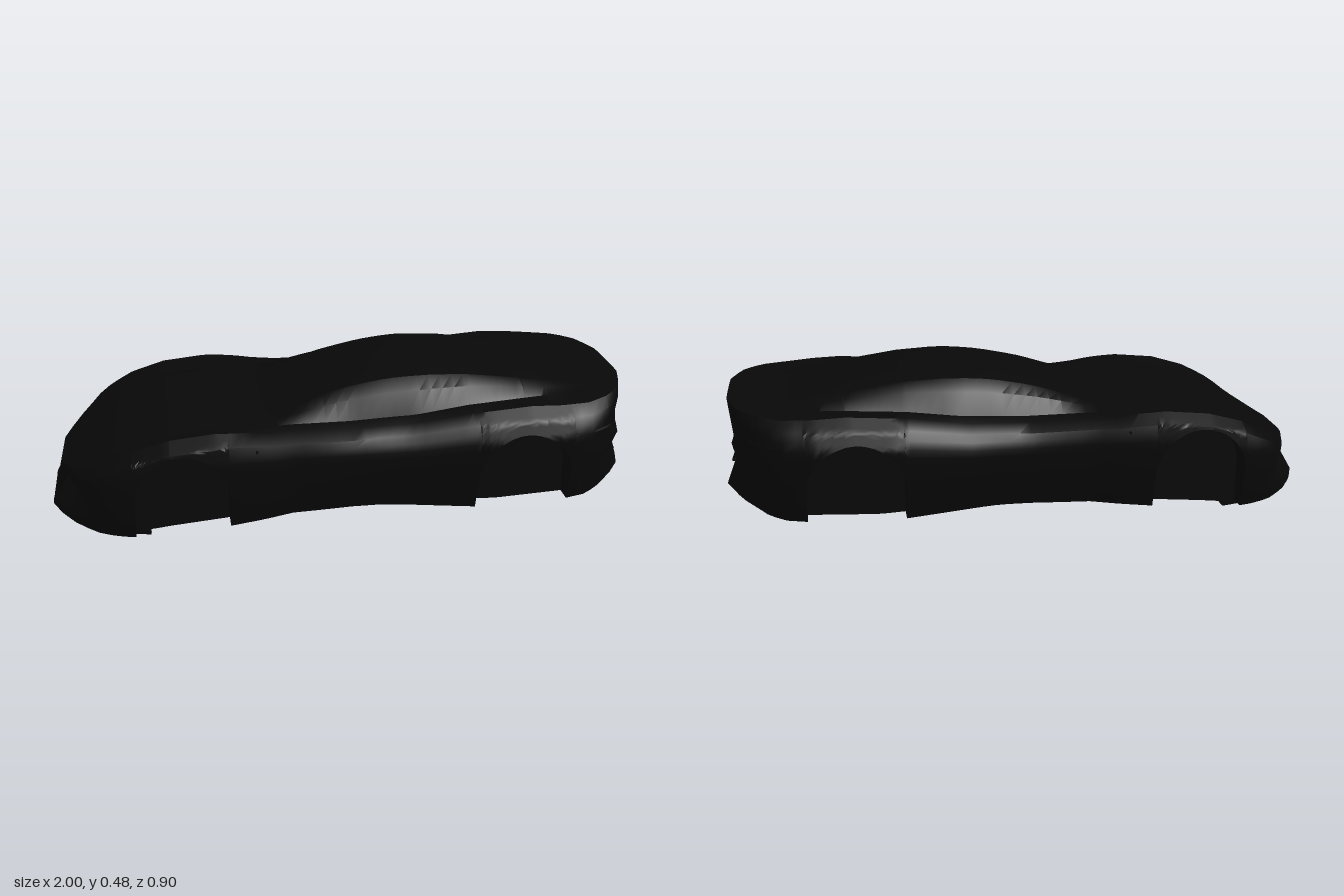
import * as THREE from 'three';
import { toCreasedNormals } from 'three/addons/utils/BufferGeometryUtils.js';

const paint = new THREE.MeshStandardMaterial({ color: 0x080808 });
paint.name = 'black paint';
const glass = new THREE.MeshStandardMaterial({ color: 0x070707 });
glass.name = 'black glass';
const trim = new THREE.MeshStandardMaterial({ color: 0x060606, side: THREE.DoubleSide });
trim.name = 'black trim';

// Piecewise interpolation through [x, value] pairs
function table(pts) {
  return (x) => {
    if (x <= pts[0][0]) return pts[0][1];
    for (let i = 1; i < pts.length; i++) {
      if (x <= pts[i][0]) {
        const [a, b] = [pts[i - 1], pts[i]];
        return a[1] + ((b[1] - a[1]) * (x - a[0])) / (b[0] - a[0]);
      }
    }
    return pts[pts.length - 1][1];
  };
}

// Lengthwise rules: plan half width, floor, shoulder, belt and centre line heights, cabin half width
const width = table([[-1, 0.13], [-0.97, 0.205], [-0.93, 0.28], [-0.85, 0.375], [-0.78, 0.413], [-0.7, 0.428], [-0.6, 0.434],
  [-0.4, 0.434], [-0.3, 0.424], [-0.2, 0.405], [0, 0.4], [0.15, 0.41], [0.3, 0.43], [0.45, 0.449], [0.7, 0.45],
  [0.8, 0.427], [0.9, 0.37], [0.96, 0.285], [0.98, 0.22], [1, 0.14]]);
const floorY = table([[-1, 0.025], [-0.67, 0.012], [-0.6, 0.02], [-0.2, 0.055], [0.1, 0.06], [0.5, 0.04], [0.8, 0.055], [0.93, 0.07], [1, 0.1]]);
const shoulder = table([[-1, 0.175], [-0.89, 0.215], [-0.8, 0.27], [-0.72, 0.31], [-0.6, 0.345], [-0.45, 0.36],
  [-0.35, 0.355], [-0.27, 0.345], [0, 0.335], [0.2, 0.345], [0.4, 0.38], [0.6, 0.395], [0.8, 0.388], [1, 0.398]]);
const belt = table([[-1, 0.178], [-0.89, 0.218], [-0.8, 0.265], [-0.72, 0.298], [-0.6, 0.33], [-0.45, 0.345],
  [-0.27, 0.345], [0, 0.342], [0.2, 0.355], [0.4, 0.378], [0.6, 0.388], [0.8, 0.385], [1, 0.398]]);
const roof = table([[-1, 0.18], [-0.89, 0.22], [-0.8, 0.27], [-0.72, 0.304], [-0.6, 0.336], [-0.45, 0.35], [-0.27, 0.35],
  [-0.2, 0.37], [-0.1, 0.41], [-0.02, 0.438], [0.1, 0.465], [0.18, 0.475], [0.26, 0.478], [0.4, 0.468], [0.6, 0.435], [0.8, 0.394], [1, 0.4]]);
const cabin = table([[-0.4, 0.3], [0, 0.315], [0.3, 0.3], [0.6, 0.285], [0.8, 0.25], [1, 0.2]]);
const frontBulge = table([[0, 0.9], [0.2, 0.945], [0.47, 0.985], [0.74, 1], [0.91, 0.985], [1, 0.845]]);
const rearBulge = table([[0, 0.88], [0.2, 0.925], [0.47, 0.98], [0.74, 1], [0.9, 0.955], [1, 0.835]]);

// Nose and tail profiles as offsets along x for each height
const noseIn = table([[0.04, 0], [0.12, 0.07], [0.18, 0.04], [0.25, 0.02]]);
const tailIn = table([[0.07, -0.05], [0.1, 0], [0.2, -0.04], [0.24, -0.02], [0.31, -0.045], [0.4, -0.015]]);
const ease = THREE.MathUtils.smoothstep;
const warp = (s, y) => s + ease(-s, 0.8, 1) * noseIn(y) + ease(s, 0.8, 1) * tailIn(y);

const wheels = [{ x: -0.565, y: 0.155, r: 0.155 }, { x: 0.575, y: 0.16, r: 0.16 }];
const LEVELS = 12;

// Half of a cross-section on the +z side, from floor centre to roof centre
function halfSection(s) {
  const W = width(s), yf = floorY(s), ys = shoulder(s), yb = belt(s), h = roof(s) - yb;
  let arch = yf;
  for (const w of wheels) {
    const d = Math.abs(s - w.x);
    if (d < w.r - 0.0005) arch = w.y + Math.sqrt(w.r * w.r - d * d);
  }
  arch = Math.min(arch, ys - 0.03);
  const zin = Math.min(0.33, 0.8 * W), zc = Math.min(cabin(s), 0.72 * W);
  // Diffuser tunnel rising along the middle of the tail
  const tunnel = yf + 0.08 * ease(s, 0.78, 0.98);
  const pts = [[0, tunnel], [Math.min(0.085, 0.58 * W), tunnel], [Math.min(0.105, 0.72 * W), yf], [zin, yf], [zin, arch]];
  const bulgeMix = ease(s, -0.2, 0.2);
  for (let i = 0; i <= LEVELS; i++) {
    const y = arch + ((ys - arch) * i) / LEVELS, k = (y - yf) / (ys - yf);
    pts.push([W * THREE.MathUtils.lerp(frontBulge(k), rearBulge(k), bulgeMix), y]);
  }
  pts.push([zc, yb], [zc * 0.88, yb + h * 0.6], [zc * 0.7, yb + h * 0.86], [zc * 0.35, yb + h], [0, yb + h * 0.985]);
  return pts.map(([z, y]) => new THREE.Vector3(warp(s, y), y, z));
}

function stations() {
  const xs = [];
  for (let i = 0; i <= 50; i++) xs.push(-1 + i * 0.04);
  xs.push(-0.985, -0.97, 0.98);
  for (const w of wheels) {
    for (let i = -8; i <= 8; i++) xs.push(w.x + (w.r - 0.001) * Math.sin((i / 8) * Math.PI / 2));
    xs.push(w.x - w.r, w.x + w.r);
  }
  return xs.sort((a, b) => a - b).filter((x, i, all) => i === 0 || x - all[i - 1] > 1e-5);
}

function creased(vertices, angle) {
  const g = new THREE.BufferGeometry();
  g.setAttribute('position', new THREE.Float32BufferAttribute(vertices.flatMap((v) => v.toArray()), 3));
  return toCreasedNormals(g, angle);
}

// Lofted shell, divided into painted body and glasshouse
function buildShell() {
  const xs = stations(), body = [], windows = [];
  const mirror = (v) => new THREE.Vector3(v.x, v.y, -v.z);
  const halves = xs.map(halfSection);
  const rings = halves.map((h) => [...h, ...h.slice(1, -1).reverse().map(mirror)]);
  const n = rings[0].length, m = halves[0].length, firstGlass = m - 5;
  for (let i = 0; i < xs.length - 1; i++) {
    for (let j = 0; j < n; j++) {
      const k = (j + 1) % n, side = j < m - 1 ? j : n - 1 - j;
      const isGlass = side >= firstGlass && side < m - 3 && xs[i] > -0.25 && xs[i] < 0.6;
      const [a, b, c, d] = [rings[i][j], rings[i + 1][j], rings[i + 1][k], rings[i][k]];
      (isGlass ? windows : body).push(a, b, c, a, c, d);
    }
  }
  // Nose and tail faces, each half filled and mirrored
  const cap = (half, flip) => {
    const pts = half.filter((p, i) => i === 0 || p.distanceTo(half[i - 1]) > 1e-6);
    const outline = pts.map((p) => new THREE.Vector2(p.z, p.y));
    for (const face of THREE.ShapeUtils.triangulateShape(outline, [])) {
      const tri = face.map((i) => pts[i]), other = tri.map(mirror).reverse();
      body.push(...(flip ? [...tri].reverse() : tri), ...(flip ? other.reverse() : other));
    }
  };
  cap(halves[0], false);
  cap(halves[halves.length - 1], true);
  return { body: creased(body, 0.6), windows: creased(windows, 0.6) };
}

export function createModel() {
  const car = new THREE.Group();
  car.name = 'car';
  const add = (name, geometry, material, x = 0, y = 0, z = 0) => {
    const mesh = new THREE.Mesh(geometry, material);
    mesh.name = name;
    mesh.position.set(x, y, z);
    car.add(mesh);
    return mesh;
  };

  const shell = buildShell();
  add('body', shell.body, paint);
  add('sideWindows', shell.windows, glass);

  // Front splitter, cut to the plan of the nose
  const plan = new THREE.Shape();
  const edge = [-0.67, -0.75, -0.83, -0.9, -0.95, -0.98, -1].map((x) => [x, width(x) * 0.81]);
  edge.forEach(([x, z], i) => (i ? plan.lineTo(x, z) : plan.moveTo(x, z)));
  [...edge].reverse().forEach(([x, z]) => plan.lineTo(x, -z));
  const blade = new THREE.ExtrudeGeometry(plan, { depth: 0.01, bevelEnabled: false });
  blade.rotateX(Math.PI / 2);
  blade.translate(1, 0, 0);
  add('splitter', blade, trim, -1, 0.033, 0).rotation.z = -0.065;

  // Trim lines wrapped around the nose and tail
  const wrap = (name, y, half, radius) => {
    const pts = [...half.slice(1).reverse().map(([x, z]) => new THREE.Vector3(x, y, -z)),
      ...half.map(([x, z]) => new THREE.Vector3(x, y, z))];
    add(name, new THREE.TubeGeometry(new THREE.CatmullRomCurve3(pts), 40, radius, 6), trim);
  };
  wrap('grilleBar', 0.12, [[-0.93, 0], [-0.93, 0.12], [-0.905, 0.2], [-0.878, 0.28]], 0.006);
  wrap('tailLightStrip', 0.31, [[0.956, 0], [0.955, 0.13], [0.92, 0.283], [0.878, 0.368], [0.8, 0.425]], 0.006);

  // Central exhaust under the tunnel: round pipe in a six-sided surround
  const tube = (name, r, sides) => {
    const mesh = add(name, new THREE.CylinderGeometry(r, r, 0.09, sides, 1, true), trim, 0.935, 0.11, 0);
    mesh.rotation.z = Math.PI / 2;
  };
  tube('exhaustSurround', 0.038, 6);
  tube('exhaustPipe', 0.025, 20);

  // Small door mirrors
  for (const side of [-1, 1]) {
    const mirror = add('doorMirror', new THREE.ConeGeometry(0.014, 0.06, 6), paint, -0.32, 0.31, side * 0.41);
    mirror.rotation.x = side * Math.PI / 2;
  }
  return car;
}
